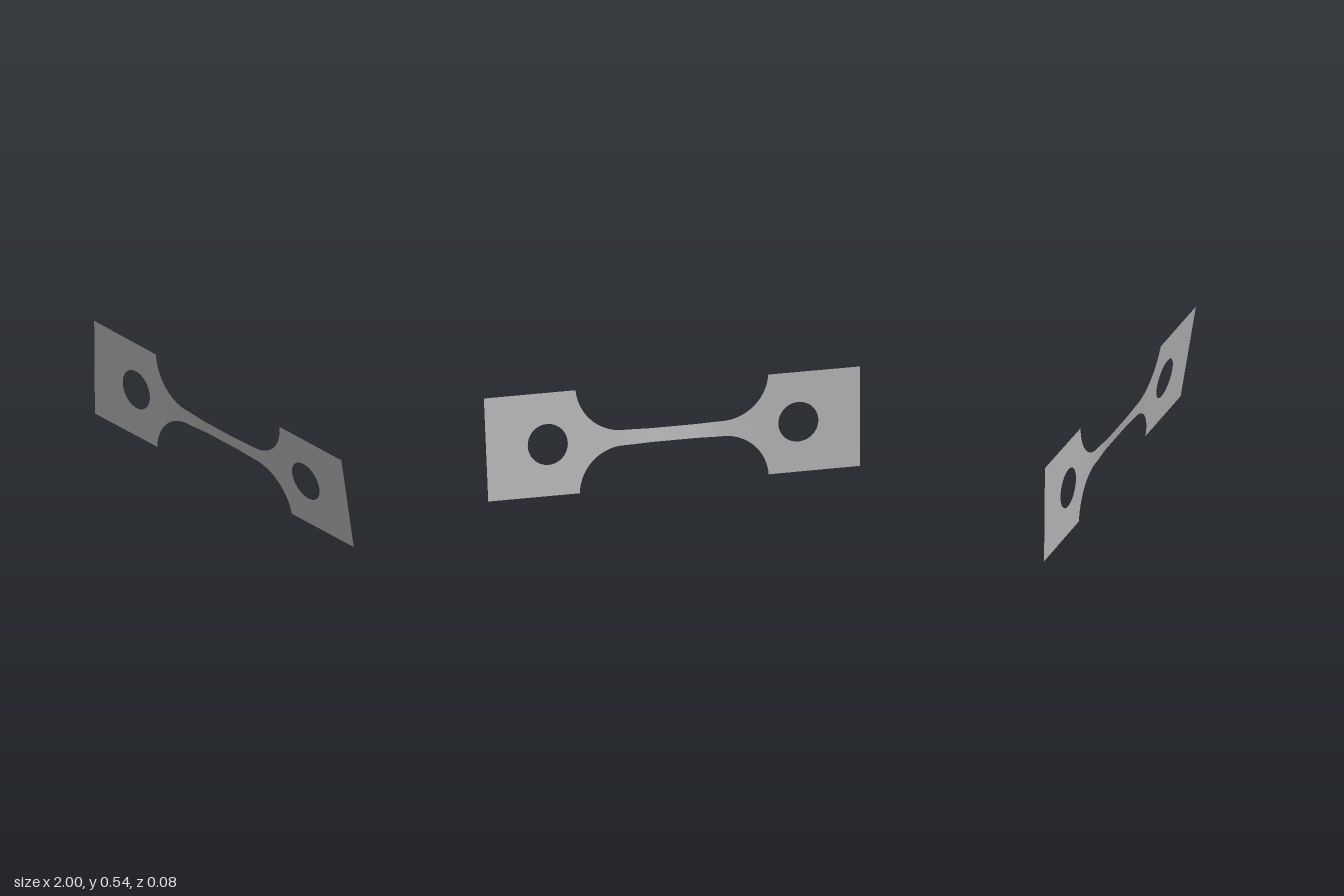
import * as THREE from 'three';

const MID = 0.271;      // height of the long axis
const HALF = 0.27;      // half height of the grips
const NECK = 0.51;      // where the grips begin

// Tilt in degrees along the length: the narrow neck twists the most.
const TILT = [[-1, 0.5], [-0.51, 1], [-0.3, 4], [-0.1, 13], [0.1, 13.5], [0.3, 10.5], [0.51, 9], [1, 9]];

function tiltAt(x) {
  for (let i = 1; i < TILT.length; i++) {
    const [x0, a] = TILT[i - 1], [x1, b] = TILT[i];
    if (x <= x1 || i === TILT.length - 1) {
      return THREE.MathUtils.degToRad(THREE.MathUtils.lerp(a, b, THREE.MathUtils.smoothstep(x, x0, x1)));
    }
  }
}

// Half height of the neck: a straight bar with round fillets to the grips.
function halfHeight(x) {
  const d = Math.abs(x), start = 0.265, r = 0.2455;
  const bar = 0.036 + 0.004 * THREE.MathUtils.smoothstep(d, 0.1, 0.265);
  if (d <= start) return bar;
  const t = Math.min((d - start) / r, 1);
  return Math.min(HALF, bar + (HALF - 0.04) * (1 - Math.sqrt(1 - t * t)) / (1 - Math.sqrt(1 - ((NECK - start) / r) ** 2)));
}

// Turns every point of the flat sheet about the long axis.
function twist(geometry) {
  const p = geometry.attributes.position;
  for (let i = 0; i < p.count; i++) {
    const x = p.getX(i), h = p.getY(i), a = tiltAt(x);
    p.setXYZ(i, x, MID + h * Math.cos(a), h * Math.sin(a));
  }
  geometry.computeVertexNormals();
  return geometry;
}

// Square grip plate with a round hole.
function gripGeometry(side) {
  const a = Math.min(side, side * NECK), b = Math.max(side, side * NECK);
  const shape = new THREE.Shape();
  shape.moveTo(a, -HALF).lineTo(b, -HALF).lineTo(b, HALF).lineTo(a, HALF).closePath();
  const hole = new THREE.Path();
  hole.absarc(side * 0.67, 0, 0.107, 0, Math.PI * 2, true);
  shape.holes.push(hole);
  return twist(new THREE.ShapeGeometry(shape, 32));
}

// Neck sheet, with columns bunched toward the steep ends of the fillets.
function neckGeometry() {
  const g = new THREE.PlaneGeometry(2, 2, 120, 8);
  const p = g.attributes.position;
  for (let i = 0; i < p.count; i++) {
    const x = NECK * Math.sin(p.getX(i) * Math.PI / 2);
    p.setXYZ(i, x, p.getY(i) * halfHeight(x), 0);
  }
  return twist(g);
}

export function createModel() {
  const steel = new THREE.MeshStandardMaterial({ color: 0xb3b3b3, side: THREE.DoubleSide });
  steel.name = 'grey steel';
  const model = new THREE.Group();
  model.name = 'twistedTestStrip';
  const add = (name, geometry) => {
    const mesh = new THREE.Mesh(geometry, steel);
    mesh.name = name;
    model.add(mesh);
  };
  add('leftGrip', gripGeometry(1));
  add('rightGrip', gripGeometry(-1));
  add('neck', neckGeometry());
  return model;
}
